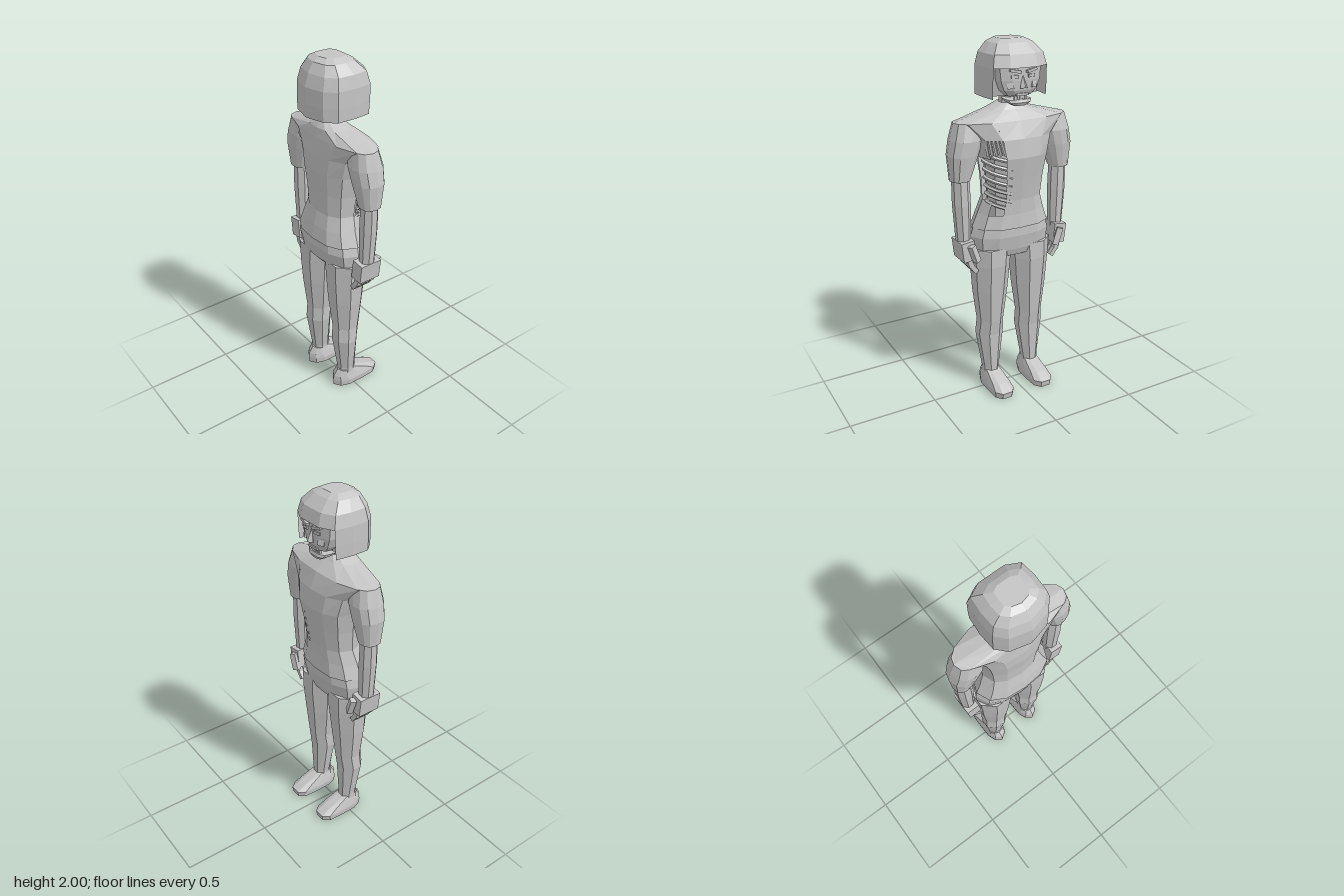
import * as THREE from 'three';

const material = (color, name) => {
  const m = new THREE.MeshStandardMaterial({ color });
  m.name = name;
  m.flatShading = true;
  m.side = THREE.DoubleSide;
  return m;
};

// Half outlines from the back (+z) round the left side to the front (-z), mirrored to a full ring
const outline = (half) => [...half, ...half.slice(1, -1).reverse().map(([x, z]) => [-x, z])];
const BODY = outline([[0, 1], [0.5, 0.92], [0.85, 0.6], [1, 0], [0.85, -0.6], [0.5, -0.92], [0, -1]]);
const HEAD = outline([[0, 1], [0.67, 0.82], [0.97, 0.48], [1, -0.14], [0.94, -0.75], [0.48, -1], [0, -1]]);
const LIMB = outline([[0.42, 1], [1, 0.4], [1, -0.4], [0.42, -1]].reduce((a, p) => [...a, p], [[0, 1]]).concat([[0, -1]]));

// Stack of rings, each [y, centreX, halfWidth, backZ, frontZ], from bottom to top
function loft(rings, shape, { skip = () => false, capped = true } = {}) {
  const pts = rings.map(([y, cx, w, zb, zf]) =>
    shape.map(([x, z]) => [cx + x * w, y, (zb + zf) / 2 + (z * (zb - zf)) / 2]));
  const n = shape.length, pos = [];
  const tri = (...p) => p.forEach((q) => pos.push(...q));
  for (let r = 0; r < rings.length - 1; r++) {
    for (let i = 0; i < n; i++) {
      if (skip(r, i)) continue;
      const j = (i + 1) % n;
      const [a, b, c, d] = [pts[r][i], pts[r][j], pts[r + 1][j], pts[r + 1][i]];
      tri(a, b, c);
      tri(a, c, d);
    }
  }
  if (capped) {
    const mid = ([y, cx, , zb, zf]) => [cx, y, (zb + zf) / 2];
    const last = rings.length - 1;
    for (let i = 0; i < n; i++) {
      const j = (i + 1) % n;
      tri(mid(rings[0]), pts[0][j], pts[0][i]);
      tri(mid(rings[last]), pts[last][i], pts[last][j]);
    }
  }
  const g = new THREE.BufferGeometry();
  g.setAttribute('position', new THREE.Float32BufferAttribute(pos, 3));
  g.computeVertexNormals();
  return g;
}

export function createModel() {
  const model = new THREE.Group();
  model.name = 'standingFigure';
  const grey = material(0xc4c4c4, 'plain grey');
  const add = (name, geometry, p = [0, 0, 0], r = [0, 0, 0]) => {
    const mesh = new THREE.Mesh(geometry, grey);
    mesh.name = name;
    mesh.position.set(...p);
    mesh.rotation.set(...r);
    model.add(mesh);
    return mesh;
  };
  const box = (name, size, p, r) => add(name, new THREE.BoxGeometry(...size), p, r);

  // Shirt with a torn opening on the left of the chest
  add('shirt', loft([
    [1.0, 0, 0.232, 0.16, -0.11], [1.08, 0, 0.2, 0.145, -0.105], [1.16, 0, 0.172, 0.125, -0.108],
    [1.28, 0, 0.18, 0.13, -0.127], [1.4, 0, 0.2, 0.142, -0.148], [1.5, 0, 0.23, 0.14, -0.135],
    [1.59, 0, 0.33, 0.128, -0.1], [1.64, 0, 0.13, 0.12, -0.045], [1.67, 0, 0.06, 0.1, -0.02],
  ], BODY, { skip: (r, i) => (r >= 2 && r <= 4 && (i === 4 || (i === 3 && r < 4))) || (r === 1 && i === 4) }));

  // Flesh, ribs and torn strands inside the opening
  add('innerFlesh', loft([
    [1.05, 0, 0.14, 0.1, -0.075], [1.16, 0, 0.14, 0.1, -0.08], [1.4, 0, 0.165, 0.11, -0.115],
    [1.56, 0, 0.19, 0.1, -0.09],
  ], BODY));
  for (let k = 0; k < 7; k++) {
    const y = 1.13 + k * 0.045, w = 0.166 + k * 0.004, d = 0.098 + k * 0.006;
    const arc = [0, 1, 2, 3, 4, 5].map((i) => {
      const t = 0.15 + i * 0.22;
      return new THREE.Vector3(Math.cos(t) * w, y + 0.03 - i * 0.01, -Math.sin(t) * d);
    });
    add('rib', new THREE.TubeGeometry(new THREE.CatmullRomCurve3(arc), 8, 0.011, 5));
  }
  for (let k = 0; k < 5; k++) {
    const path = new THREE.LineCurve3(
      new THREE.Vector3(0.1 + k * 0.02, 1.42, -0.125 + k * 0.012),
      new THREE.Vector3(0.13 + k * 0.016, 1.55, -0.098 + k * 0.008));
    add('tornStrand', new THREE.TubeGeometry(path, 1, 0.009, 4));
  }

  // Trousers seat
  add('hips', loft([
    [0.83, 0, 0.2, 0.1, -0.07], [0.87, 0, 0.235, 0.135, -0.085],
    [0.95, 0, 0.24, 0.152, -0.1], [1.01, 0, 0.222, 0.145, -0.1],
  ], BODY));

  for (const s of [1, -1]) {
    const side = s > 0 ? 'left' : 'right';
    // Leg and shoe
    add(side + 'Leg', loft([
      [0.07, s * 0.13, 0.046, 0.072, -0.03], [0.12, s * 0.13, 0.046, 0.07, -0.03],
      [0.34, s * 0.129, 0.076, 0.1, -0.035], [0.43, s * 0.127, 0.072, 0.095, -0.048],
      [0.62, s * 0.125, 0.095, 0.115, -0.065], [0.78, s * 0.123, 0.106, 0.125, -0.08],
      [0.88, s * 0.12, 0.115, 0.125, -0.08],
    ], LIMB));
    add(side + 'Shoe', loft([
      [0, s * 0.128, 0.06, 0.11, -0.185], [0.035, s * 0.128, 0.063, 0.113, -0.19],
      [0.065, s * 0.128, 0.055, 0.108, -0.13], [0.105, s * 0.129, 0.044, 0.08, -0.025],
    ], HEAD));

    // Sleeve and arm
    add(side + 'Sleeve', loft([
      [1.285, s * 0.304, 0.055, 0.068, -0.045], [1.42, s * 0.285, 0.085, 0.09, -0.065],
      [1.5, s * 0.265, 0.09, 0.098, -0.07], [1.59, s * 0.245, 0.085, 0.085, -0.05],
    ], BODY));
    add(side + 'Arm', loft([
      [0.93, s * 0.29, 0.038, 0.052, -0.028], [1.15, s * 0.297, 0.047, 0.056, -0.034],
      [1.32, s * 0.3, 0.045, 0.054, -0.032],
    ], LIMB));

    // Hand, four fingers and thumb
    box(side + 'Hand', [0.075, 0.112, 0.13], [s * 0.287, 0.895, 0.011], [0, 0, s * -0.12]);
    for (let k = 0; k < 4; k++) {
      const z = 0.056 - k * 0.03;
      box(side + 'FingerBase', [0.03, 0.055, 0.026], [s * 0.275, 0.825, z], [0, 0, s * -0.25]);
      box(side + 'FingerTip', [0.026, 0.05, 0.024], [s * 0.253, 0.782, z], [0, 0, s * -0.65]);
    }
    box(side + 'Thumb', [0.034, 0.1, 0.032], [s * 0.264, 0.885, -0.068], [0.15, s * 0.4, s * -0.35]);

    // Paired face details
    box(side + 'Brow', [0.06, 0.014, 0.02], [s * 0.047, 1.85, -0.126], [0, s * -0.15, s * 0.2]);
    box(side + 'Eye', [0.04, 0.016, 0.01], [s * 0.048, 1.822, -0.124], [0, s * -0.15, 0]);
    box(side + 'Cheek', [0.035, 0.03, 0.02], [s * 0.065, 1.775, -0.11], [0.2, s * -0.5, 0]);
  }

  // Neck, face and jaw
  add('neck', loft([
    [1.62, 0, 0.065, 0.09, -0.03], [1.68, 0, 0.05, 0.075, -0.02], [1.75, 0, 0.05, 0.075, -0.02],
  ], LIMB));
  add('face', loft([
    [1.72, 0, 0.07, 0.03, -0.105], [1.75, 0, 0.1, 0.06, -0.118],
    [1.8, 0, 0.12, 0.08, -0.123], [1.88, 0, 0.128, 0.08, -0.122],
  ], HEAD));
  add('jaw', loft([
    [1.668, 0, 0.035, -0.05, -0.105], [1.685, 0, 0.062, -0.01, -0.114], [1.7, 0, 0.07, 0.02, -0.108],
  ], HEAD));
  add('nose', new THREE.ConeGeometry(0.022, 0.07, 4), [0, 1.797, -0.125], [0.15, 0, 0]);
  for (let k = -2; k <= 2; k++) {
    box('tooth', [0.012, 0.024, 0.01], [k * 0.015, 1.71, -0.1 + Math.abs(k) * 0.002]);
  }
  box('upperLip', [0.07, 0.012, 0.016], [0, 1.728, -0.11]);

  // Bobbed hair: closed crown, side curtain open at the face, and lining
  add('hairCrown', loft([
    [1.865, 0, 0.165, 0.185, -0.138], [1.93, 0, 0.15, 0.165, -0.118],
    [1.98, 0, 0.11, 0.135, -0.065], [2.0, 0, 0.07, 0.1, -0.03],
  ], HEAD));
  add('hairCurtain', loft([
    [1.71, 0, 0.165, 0.185, -0.13], [1.78, 0, 0.166, 0.187, -0.135], [1.865, 0, 0.165, 0.185, -0.138],
  ], HEAD, { capped: false, skip: (r, i) => i >= 4 && i <= 7 }));
  add('hairLining', loft([
    [1.715, 0, 0.15, 0.172, -0.05], [1.87, 0, 0.155, 0.175, -0.08],
  ], HEAD));

  return model;
}
